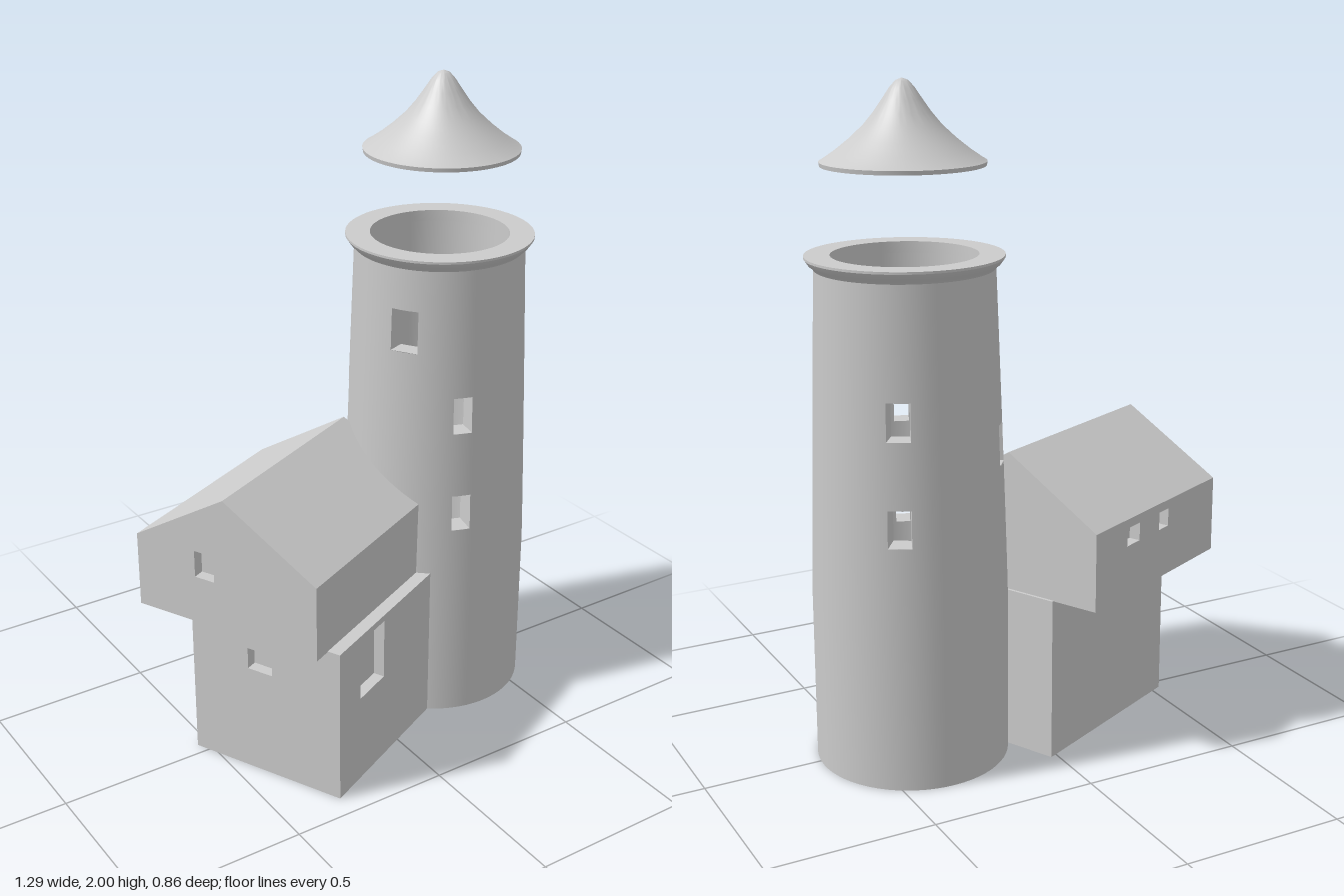
import * as THREE from 'three';
import { toCreasedNormals } from 'three/addons/utils/BufferGeometryUtils.js';

const grey = new THREE.MeshStandardMaterial({ color: 0xcccccc });
const thin = new THREE.MeshStandardMaterial({ color: 0xcccccc, side: THREE.DoubleSide });
const V = (pts) => pts.map(([x, y]) => new THREE.Vector2(x, y));

function add(parent, name, geometry, material = grey, x = 0, y = 0, z = 0) {
  const mesh = new THREE.Mesh(geometry, material);
  mesh.name = name;
  mesh.position.set(x, y, z);
  parent.add(mesh);
  return mesh;
}

const lathe = (pts) => toCreasedNormals(new THREE.LatheGeometry(V(pts), 64), 0.5);

// ---- tower: hollow tapering wall, windows cut through it ----
const INNER = 0.21, TOP = 1.48;
const outer = (y) => (y <= 0.5 ? 0.289 : 0.289 - 0.032 * Math.pow((y - 0.5) / 0.98, 1.1));
const inner = () => INNER;
const at = (r, a, y) => [r * Math.sin(a), y, r * Math.cos(a)];

// angle (from +z towards +x), centre height, width, height
const towerWindows = [
  [-0.336, 1.025, 0.058, 0.115],
  [-0.336, 0.705, 0.058, 0.115],
  [-1.02, 1.285, 0.085, 0.13],
  [-2.2, 0.97, 0.065, 0.12],
  [2.62, 1.095, 0.068, 0.11],
  [2.62, 0.79, 0.068, 0.11],
].map(([a, y, w, h]) => {
  const half = w / 2 / outer(y);
  return { a0: a - half, a1: a + half, y0: y - h / 2, y1: y + h / 2 };
});

function wallGeometry(radius, inward) {
  const angles = [], rows = [0, 0.25, 0.5];
  for (let i = 0; i <= 64; i++) angles.push(-Math.PI + (i / 64) * Math.PI * 2);
  for (let i = 1; i <= 10; i++) rows.push(0.5 + (i / 10) * (TOP - 0.5));
  for (const w of towerWindows) {
    angles.push(w.a0, w.a1);
    rows.push(w.y0, w.y1);
  }
  const unique = (list) => list.sort((p, q) => p - q).filter((v, i) => i === 0 || v - list[i - 1] > 1e-6);
  const A = unique(angles), Y = unique(rows), s = inward ? -1 : 1;
  const pos = [], nor = [], index = [];
  for (const y of Y) for (const a of A) {
    pos.push(...at(radius(y), a, y));
    nor.push(s * Math.sin(a), 0, s * Math.cos(a));
  }
  for (let j = 0; j < Y.length - 1; j++) for (let i = 0; i < A.length - 1; i++) {
    const a = (A[i] + A[i + 1]) / 2, y = (Y[j] + Y[j + 1]) / 2;
    if (towerWindows.some((w) => a > w.a0 && a < w.a1 && y > w.y0 && y < w.y1)) continue;
    const p = j * A.length + i, q = p + A.length;
    if (inward) index.push(p, q + 1, p + 1, p, q, q + 1);
    else index.push(p, p + 1, q + 1, p, q + 1, q);
  }
  const g = new THREE.BufferGeometry();
  g.setAttribute('position', new THREE.Float32BufferAttribute(pos, 3));
  g.setAttribute('normal', new THREE.Float32BufferAttribute(nor, 3));
  g.setIndex(index);
  return g;
}

// four flat sides lining a window opening, facing into it
function revealGeometry({ a0, a1, y0, y1 }) {
  const corners = [[a0, y0], [a1, y0], [a1, y1], [a0, y1]];
  const pos = [];
  corners.forEach(([a, y], i) => {
    const [b, v] = corners[(i + 1) % 4];
    const p = at(outer(y), a, y), q = at(outer(v), b, v), r = at(INNER, b, v), s = at(INNER, a, y);
    pos.push(...p, ...q, ...r, ...p, ...r, ...s);
  });
  const g = new THREE.BufferGeometry();
  g.setAttribute('position', new THREE.Float32BufferAttribute(pos, 3));
  g.computeVertexNormals();
  return g;
}

function buildTower() {
  const tower = new THREE.Group();
  tower.name = 'tower';
  tower.position.set(0.352, 0, -0.033);
  add(tower, 'towerOuterWall', wallGeometry(outer, false));
  add(tower, 'towerInnerWall', wallGeometry(inner, true));
  towerWindows.forEach((w) => add(tower, 'towerWindowReveal', revealGeometry(w), thin));
  add(tower, 'towerBase', new THREE.CircleGeometry(0.289, 64).rotateX(Math.PI / 2));
  add(tower, 'towerFloor', new THREE.CircleGeometry(INNER, 64).rotateX(-Math.PI / 2), grey, 0, 0.03);
  // flared rim around the open top
  add(tower, 'towerRim', lathe([
    [0.257, 1.475], [0.265, 1.485], [0.272, 1.49], [0.284, 1.507], [0.284, 1.514], [INNER, 1.514], [INNER, TOP],
  ]), thin);
  // bell-curved roof shell floating over the tower, hollow beneath
  add(tower, 'towerRoof', lathe([
    [0, 1.87], [0.06, 1.86], [0.13, 1.815], [0.212, 1.762], [0.232, 1.762], [0.234, 1.774], [0.225, 1.779],
    [0.19, 1.803], [0.15, 1.835], [0.11, 1.872], [0.08, 1.908], [0.055, 1.944], [0.035, 1.974], [0.018, 1.993], [0, 2],
  ]), thin);
  return tower;
}

// ---- house: wall panels with openings around a core that backs them ----
const D = 0.035; // depth of the window recesses

// holes are [x0, x1, y0, y1]
function panel(points, holes = []) {
  const shape = new THREE.Shape(V(points));
  for (const [x0, x1, y0, y1] of holes)
    shape.holes.push(new THREE.Path(V([[x0, y0], [x0, y1], [x1, y1], [x1, y0]])));
  return new THREE.ExtrudeGeometry(shape, { depth: D, bevelEnabled: false });
}

function buildStorey(name, { length, width, y0, y1, ridge, front, back, gable }) {
  const storey = new THREE.Group();
  storey.name = name;
  const l = length / 2, w = width / 2, n = l - D;
  const side = [[-n, y0], [n, y0], [n, y1], [-n, y1]];
  const end = [[-w, y0], [w, y0], [w, y1], ...(ridge ? [[0, ridge]] : []), [-w, y1]];
  add(storey, 'frontWall', panel(side, front), grey, 0, 0, w - D);
  add(storey, 'backWall', panel(side, back), grey, 0, 0, -w);
  add(storey, 'outerEndWall', panel(end, gable), grey, -n).rotation.y = -Math.PI / 2;
  add(storey, 'towerEndWall', panel(end), grey, l).rotation.y = -Math.PI / 2;
  add(storey, 'core', new THREE.BoxGeometry(2 * n, y1 - y0, width - 2 * D), grey, 0, (y0 + y1) / 2);
  if (ridge) {
    const section = new THREE.Shape(V([[-w, y1], [w, y1], [0, ridge]]));
    const roof = new THREE.ExtrudeGeometry(section, { depth: 2 * n, bevelEnabled: false });
    add(storey, 'gableRoof', roof, grey, n).rotation.y = -Math.PI / 2;
  }
  return storey;
}

function buildHouse() {
  const house = new THREE.Group();
  house.name = 'house';
  house.position.set(-0.215, 0, -0.0075);
  house.rotation.y = 0.445;
  const lower = buildStorey('lowerStorey', {
    length: 0.615, width: 0.518, y0: 0, y1: 0.5,
    front: [[-0.192, -0.053, 0.285, 0.48]],
    gable: [[-0.06, 0.025, 0.35, 0.42]],
  });
  lower.position.set(0.033, 0, 0.093);
  const upper = buildStorey('upperStorey', {
    length: 0.664, width: 0.622, y0: 0.498, y1: 0.735, ridge: 0.925,
    back: [[0.1, 0.168, 0.652, 0.707], [-0.062, -0.01, 0.652, 0.707]],
    gable: [[-0.105, -0.037, 0.65, 0.735]],
  });
  house.add(lower, upper);
  return house;
}

export function createModel() {
  const model = new THREE.Group();
  model.name = 'lighthouse';
  model.add(buildTower(), buildHouse());
  return model;
}
